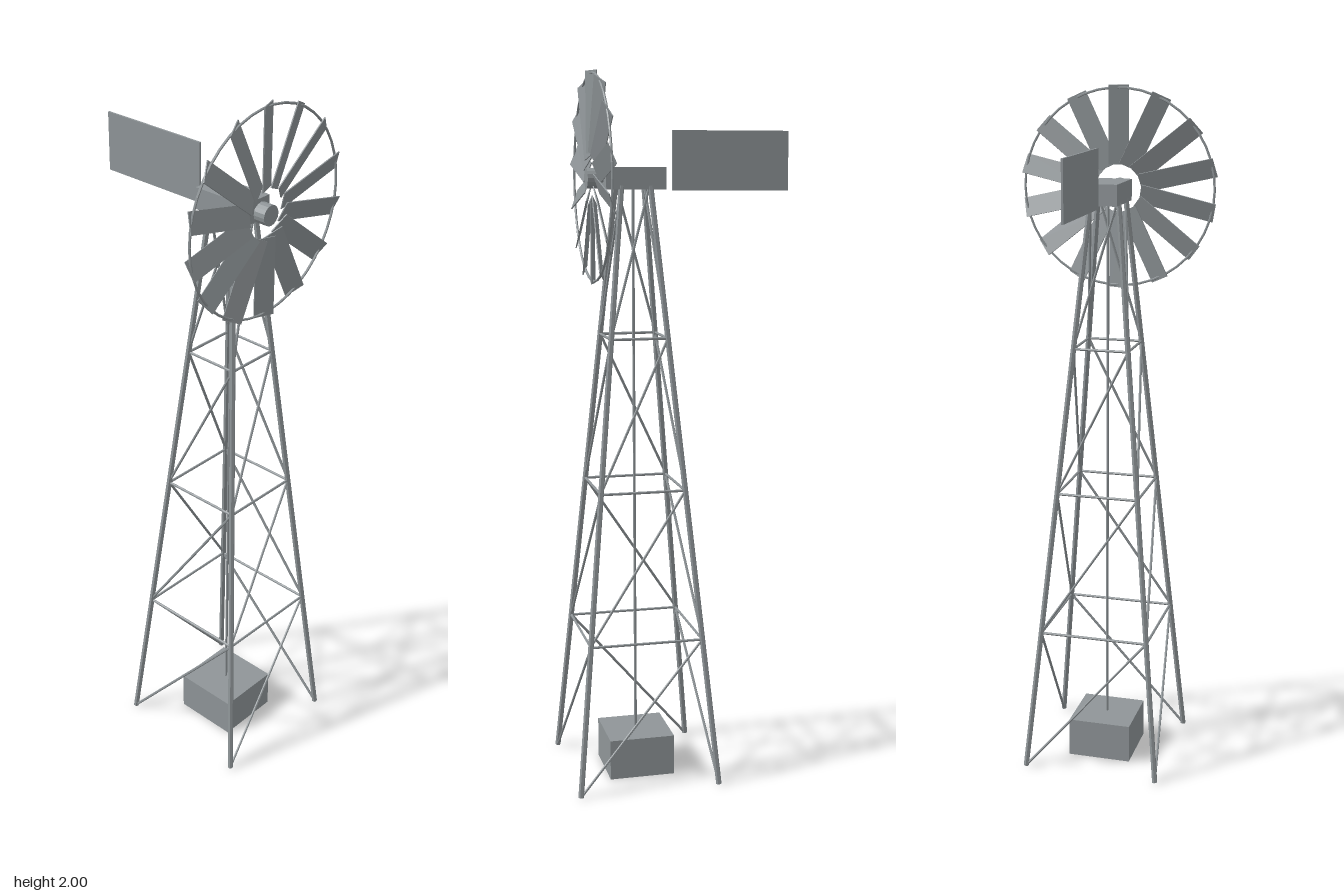
import * as THREE from 'three';

const steel = new THREE.MeshStandardMaterial({ color: 0x8f9598, flatShading: true });
steel.name = 'galvanised steel';

const TOWER_Z = 0.12, LEVEL = 0.425, BAYS = 4;
const WHEEL_Y = 1.712, WHEEL_Z = 0.234, BLADES = 14;

function add(parent, geometry, name, x = 0, y = 0, z = 0) {
  const mesh = new THREE.Mesh(geometry, steel);
  mesh.name = name;
  mesh.position.set(x, y, z);
  parent.add(mesh);
  return mesh;
}

// Straight bar between two points
function bar(parent, a, b, radius, name, sides = 6) {
  const dir = b.clone().sub(a);
  const mid = a.clone().add(b).multiplyScalar(0.5);
  const mesh = add(parent, new THREE.CylinderGeometry(radius, radius, dir.length(), sides), name, mid.x, mid.y, mid.z);
  mesh.quaternion.setFromUnitVectors(new THREE.Vector3(0, 1, 0), dir.normalize());
}

// Tower corner at a level; corners run around the tower from the front left
function corner(i, level) {
  const h = 0.2 - 0.04 * level;
  const [sx, sz] = [[-1, 1], [1, 1], [1, -1], [-1, -1]][i % 4];
  return new THREE.Vector3(sx * h, level * LEVEL, TOWER_Z + sz * h);
}

function buildTower() {
  const tower = new THREE.Group();
  tower.name = 'tower';
  for (let i = 0; i < 4; i++) {
    bar(tower, corner(i, 0).setY(0.004), corner(i, 3.98), 0.008, 'leg');
    for (let level = 0; level < BAYS; level++) {
      // One diagonal per face and bay, plus a rail above the ground
      bar(tower, corner(i, level).setY(level * LEVEL + 0.004), corner(i + 1, level + 1), 0.0038, 'diagonalBrace');
      if (level > 0) bar(tower, corner(i, level), corner(i + 1, level), 0.0038, 'rail');
    }
  }
  bar(tower, new THREE.Vector3(0, 0.1, TOWER_Z), new THREE.Vector3(0, 1.7, TOWER_Z), 0.004, 'pumpRod');
  add(tower, new THREE.BoxGeometry(0.188, 0.116, 0.188), 'pumpBase', 0, 0.06, TOWER_Z);
  return tower;
}

function buildWheel() {
  const wheel = new THREE.Group();
  wheel.name = 'wheel';
  wheel.position.set(0, WHEEL_Y, WHEEL_Z);
  const inner = 0.066, outer = 0.288;
  for (let k = 0; k < BLADES; k++) {
    const arm = new THREE.Group();
    arm.name = 'bladeArm';
    arm.rotation.z = (k / BLADES) * Math.PI * 2;
    // Pitched flat blade
    const blade = add(arm, new THREE.BoxGeometry(0.058, outer - inner, 0.003), 'blade', 0, (inner + outer) / 2, 0);
    blade.rotation.y = 0.36;
    wheel.add(arm);
  }
  add(wheel, new THREE.TorusGeometry(0.281, 0.0035, 6, 42), 'rim');
  const hub = add(wheel, new THREE.CylinderGeometry(0.028, 0.028, 0.034, 16), 'hub');
  hub.rotation.x = Math.PI / 2;
  const shaft = add(wheel, new THREE.CylinderGeometry(0.012, 0.012, 0.05, 10), 'shaft', 0, 0, -0.03);
  shaft.rotation.x = Math.PI / 2;
  return wheel;
}

export function createModel() {
  const model = new THREE.Group();
  model.name = 'windPump';
  model.add(buildTower(), buildWheel());
  // Gearbox head and tail vane
  add(model, new THREE.BoxGeometry(0.094, 0.06, 0.168), 'gearbox', 0, 1.712, TOWER_Z);
  add(model, new THREE.BoxGeometry(0.006, 0.165, 0.336), 'tailVane', 0, 1.76, -0.16);
  return model;
}
